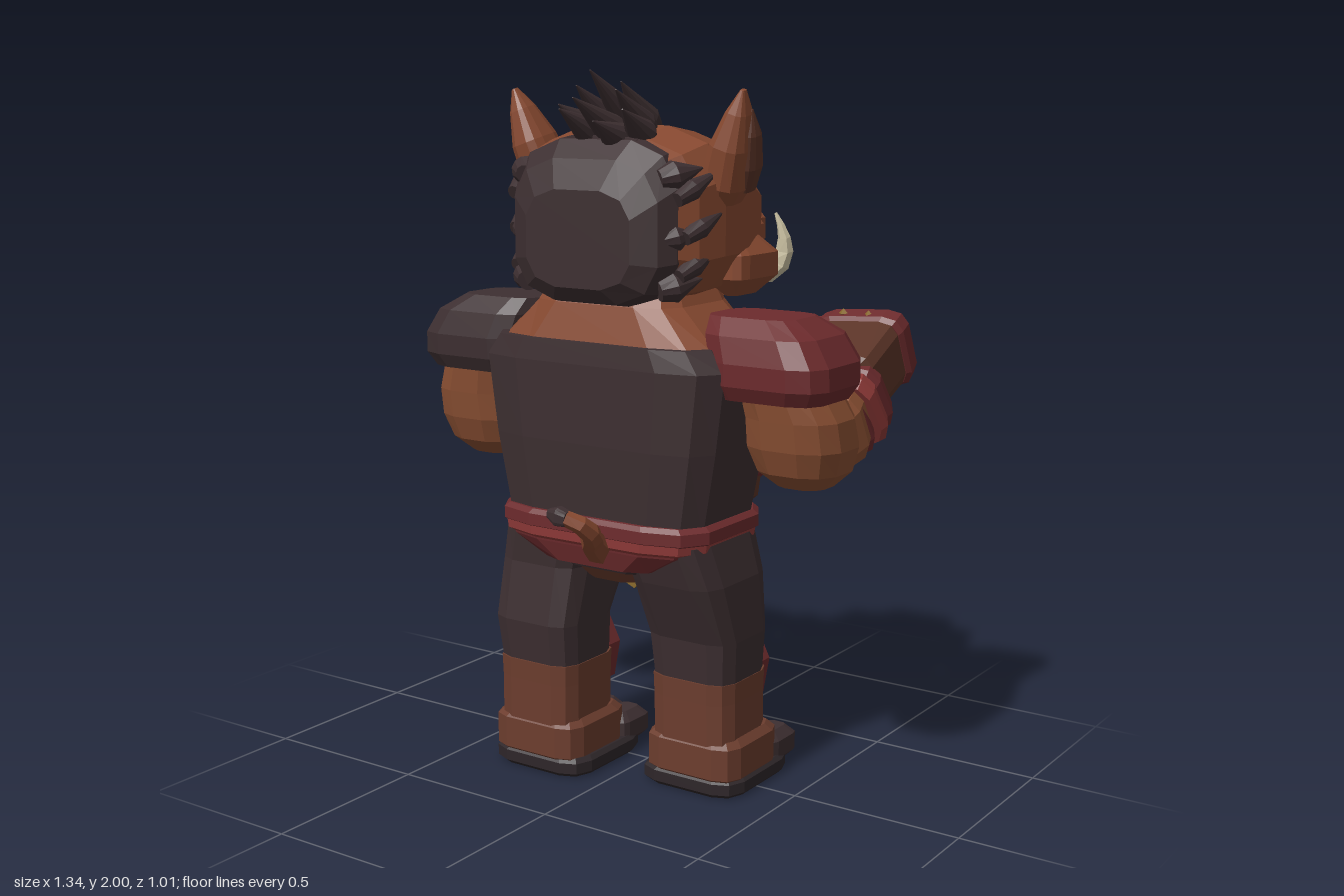
import * as THREE from 'three';

const mat = (name, color) => { const m = new THREE.MeshStandardMaterial({ color }); m.name = name; m.flatShading = true; return m; };
const skin = mat('skin', 0x874930), armSkin = mat('arm skin', 0x8b5033), dark = mat('dark cloth and hair', 0x3d2f31),
  leather = mat('leather', 0x5b3427), boot = mat('boot brown', 0x6c3d2e), red = mat('armour red', 0x6d2b2d),
  cloth = mat('red cloth', 0x8f3a38), gold = mat('gold', 0x8a6a2c), ivory = mat('ivory', 0xd2c8a8), black = mat('sole black', 0x2e2629);

export function createModel() {
  const root = new THREE.Group();
  const add = (name, geo, material) => {
    const m = new THREE.Mesh(geo, material);
    m.name = name;
    root.add(m);
    return m;
  };

  // Loft of rounded-box rings: [t, centre x, centre w, half width, half depth]; t runs along y or z
  function loft(rings, axis = 'y', e = 0.55, n = 12) {
    const pos = [], idx = [], off = Math.PI / n, norm = Math.cos(off) ** e;
    const pw = v => Math.sign(v) * Math.abs(v) ** e / norm;
    for (const [t, cx, cw, hw, hd] of rings) for (let j = 0; j < n; j++) {
      const a = off + j * 2 * Math.PI / n, x = cx + hw * pw(Math.cos(a)), w = hd * pw(Math.sin(a));
      if (axis === 'y') pos.push(x, t, cw + w); else pos.push(x, cw - w, t);
    }
    for (let i = 0; i < rings.length - 1; i++) for (let j = 0; j < n; j++) {
      const a = i * n + j, b = i * n + (j + 1) % n;
      idx.push(a, a + n, b + n, a, b + n, b);
    }
    const top = (rings.length - 1) * n;
    for (let j = 1; j < n - 1; j++) idx.push(0, j, j + 1, top, top + j + 1, top + j);
    const g = new THREE.BufferGeometry();
    g.setAttribute('position', new THREE.Float32BufferAttribute(pos, 3));
    g.setIndex(idx);
    const flat = g.toNonIndexed();
    flat.computeVertexNormals();
    return flat;
  }
  // Box with bevelled edges
  const chunk = (w, h, d, c = 0.03) => loft([[-h / 2, 0, 0, w / 2 - c, d / 2 - c], [-h / 2 + c, 0, 0, w / 2, d / 2],
    [h / 2 - c, 0, 0, w / 2, d / 2], [h / 2, 0, 0, w / 2 - c, d / 2 - c]], 'y', 0.4);
  const put = (name, geo, material, x, y, z, rx = 0, ry = 0, rz = 0) => {
    const m = add(name, geo, material);
    m.position.set(x, y, z);
    m.rotation.set(rx, ry, rz);
    return m;
  };
  const rivet = (x, y, z) => put('rivet', new THREE.OctahedronGeometry(0.015), gold, x, y, z);
  // Limb between two points; rings are [fraction, half width, half depth]
  function limb(name, a, b, rings, material, e = 0.55) {
    const A = new THREE.Vector3(...a), d = new THREE.Vector3(...b).sub(A), L = d.length();
    const m = add(name, loft(rings.map(([t, w, h]) => [t * L, 0, 0, w, h]), 'y', e), material);
    m.position.copy(A);
    m.quaternion.setFromUnitVectors(new THREE.Vector3(0, 1, 0), d.normalize());
    return m;
  }
  const spike = (name, a, b, r, material) => limb(name, a, b, [[0, r * 0.6, r * 0.7], [0.35, r, r], [1, 0.002, 0.002]], material, 1);
  // Flat extruded panel
  const panel = (name, pts, depth, material, x, y, z) => {
    const g = new THREE.ExtrudeGeometry(new THREE.Shape(pts.map(p => new THREE.Vector2(...p))), { depth, bevelEnabled: false });
    return put(name, g, material, x, y, z);
  };
  // Tapered tube along a path
  function taper(name, pts, r0, r1, material, seg = 7) {
    const c = new THREE.CatmullRomCurve3(pts.map(p => new THREE.Vector3(...p)));
    const g = new THREE.TubeGeometry(c, seg, 1, 6), p = g.attributes.position, v = new THREE.Vector3();
    for (let i = 0; i < p.count; i++) {
      const t = Math.floor(i / 7) / seg, q = c.getPointAt(t);
      v.fromBufferAttribute(p, i).sub(q).multiplyScalar(r0 + (r1 - r0) * t).add(q);
      p.setXYZ(i, v.x, v.y, v.z);
    }
    g.computeVertexNormals();
    return add(name, g, material);
  }

  // Torso, neck and hips
  add('vest', loft([[0.76, 0, 0.09, 0.32, 0.2], [1.0, 0, 0.09, 0.365, 0.215], [1.22, 0, 0.095, 0.395, 0.215], [1.28, 0, 0.095, 0.35, 0.21]], 'y', 0.4), dark);
  add('neck', loft([[1.2, 0, 0.09, 0.39, 0.185], [1.25, 0, 0.09, 0.375, 0.2], [1.38, 0, 0.08, 0.235, 0.18], [1.45, 0, 0.07, 0.2, 0.15]], 'y', 0.45), skin);
  add('hips', loft([[0.635, 0, 0.08, 0.18, 0.16], [0.67, 0, 0.08, 0.26, 0.18], [0.78, 0, 0.08, 0.32, 0.2]]), dark);
  add('crotch', loft([[0.595, 0, 0.08, 0.09, 0.12], [0.65, 0, 0.08, 0.14, 0.17]]), boot);
  add('beltLower', loft([[0.655, 0, 0.085, 0.2, 0.2], [0.71, 0, 0.085, 0.31, 0.215], [0.75, 0, 0.085, 0.33, 0.22]], 'y', 0.45), red);
  add('beltSash', loft([[0.715, 0, 0.085, 0.31, 0.215], [0.725, 0, 0.085, 0.332, 0.226], [0.75, 0, 0.085, 0.336, 0.228]], 'y', 0.45), cloth);
  add('beltUpper', loft([[0.74, 0, 0.085, 0.325, 0.215], [0.752, 0, 0.085, 0.345, 0.23], [0.785, 0, 0.085, 0.345, 0.23], [0.798, 0, 0.085, 0.33, 0.22]], 'y', 0.45), red);

  // Chest armour bands
  const band = (name, y0, y1, w0, w1, z, m) => add(name, loft([[y0, 0, z + 0.01, w0 - 0.02, 0.09], [y0 + 0.02, 0, z, w0, 0.1],
    [y1 - 0.02, 0, z, w1, 0.1], [y1, 0, z + 0.01, w1 - 0.02, 0.085]], 'y', 0.5), m);
  band('chestBand', 0.8, 0.91, 0.3, 0.31, -0.06, leather);
  band('chestBand', 0.87, 1.0, 0.32, 0.335, -0.09, red);
  band('chestBand', 0.98, 1.11, 0.33, 0.345, -0.075, leather);
  band('chestBand', 1.08, 1.26, 0.345, 0.36, -0.09, red);
  band('collar', 1.23, 1.3, 0.33, 0.29, -0.04, dark);
  put('medallion', new THREE.CylinderGeometry(0.05, 0.05, 0.025, 8), gold, 0, 1.14, -0.195, Math.PI / 2);
  put('medallionGroove', new THREE.BoxGeometry(0.07, 0.009, 0.008), leather, 0, 1.14, -0.208, 0, 0, 0.5);
  for (const s of [-1, 1]) {
    for (const [x, y] of [[0.24, 1.21], [0.24, 1.12], [0.23, 0.95]]) rivet(s * x, y, -0.185);
    rivet(s * 0.2, 1.28, -0.13);
  }

  // Buckle, loincloth and aprons with gold hems
  put('buckle', chunk(0.1, 0.075, 0.05, 0.01), gold, 0, 0.75, -0.165);
  put('buckleInset', new THREE.BoxGeometry(0.05, 0.03, 0.008), leather, 0, 0.75, -0.191);
  panel('loincloth', [[-0.07, 0.24], [-0.055, 0.03], [0, -0.03], [0.055, 0.03], [0.07, 0.24]], 0.02, cloth, 0, 0.49, -0.175);
  for (const [x, s, y] of [[-0.165, 1.25, 0.51], [0.145, 0.75, 0.56]]) {
    const P = (...pts) => pts.map(([a, b]) => [a * s, b]);
    panel('apron', P([-0.09, 0.22], [-0.08, 0.03], [0.03, -0.03], [0.08, 0.03], [0.08, 0.22]), 0.04, leather, x, y, -0.155);
    panel('apronHem', P([-0.082, 0.045], [-0.08, 0.025], [0.03, -0.035], [0.08, 0.025], [0.082, 0.045], [0.03, -0.015]), 0.05, gold, x, y, -0.16);
  }

  // Legs; dz sets the stride
  for (const [s, dz] of [[1, 0], [-1, 0.115]]) {
    const bz = 0.025 + dz;
    add('thigh', loft([[0.29, s * 0.228, bz, 0.127, 0.12], [0.45, s * 0.23, bz + 0.01, 0.138, 0.13], [0.62, s * 0.22, 0.07 + dz * 0.2, 0.14, 0.165], [0.74, s * 0.19, 0.09, 0.145, 0.18]], 'y', 0.45), dark);
    add('shin', loft([[0.08, s * 0.23, bz, 0.13, 0.125], [0.27, s * 0.228, bz, 0.13, 0.128], [0.33, s * 0.228, bz, 0.132, 0.13]], 'y', 0.45), boot);
    put('bootCuff', chunk(0.3, 0.13, 0.29, 0.02), boot, s * 0.23, 0.1, 0.01 + dz);
    put('sole', chunk(0.325, 0.055, 0.35, 0.012), black, s * 0.223, 0.028, -0.02 + dz);
    for (const i of [-1, 0, 1])
      put('toe', chunk(0.105, 0.1, 0.14, 0.025), dark, s * 0.223 + i * 0.1, 0.07, (i ? -0.162 : -0.182) + dz);
    const hex = [[-0.06, 0.1], [-0.095, 0.03], [-0.075, -0.08], [0, -0.11], [0.075, -0.08], [0.095, 0.03], [0.06, 0.1]];
    panel('kneePad', hex, 0.06, red, s * 0.225, 0.3, -0.155 + dz);
    panel('kneePlate', hex.map(([a, b]) => [a * 0.8, b * 0.8]), 0.03, red, s * 0.225, 0.3, -0.17 + dz);
    for (const y of [0.23, 0.37]) rivet(s * 0.225, y, -0.17 + dz);
  }

  // Arms with shoulder pads, wraps and armoured gloves
  for (const s of [1, -1]) {
    const dy = s > 0 ? 0 : -0.025, X = s * 0.53;
    add('shoulderPad', loft([[1.15, s * 0.485, 0.075, 0.16, 0.135], [1.19, s * 0.49, 0.075, 0.18, 0.157], [1.25, s * 0.49, 0.075, 0.178, 0.16],
      [1.32, s * 0.46, 0.075, 0.165, 0.145], [1.365, s * 0.42, 0.075, 0.13, 0.1]], 'y', 0.5), s > 0 ? red : dark);
    put('padGash', new THREE.BoxGeometry(0.14, 0.012, 0.012), s > 0 ? cloth : armSkin, s * 0.46, 1.335, -0.052, 0, 0, 0.12);
    for (const x of [0.38, 0.58]) rivet(s * x, 1.22, -0.085);
    add('upperArm', loft([[0.905 + dy, X, 0.02, 0.07, 0.07], [0.95 + dy, X, 0.025, 0.118, 0.12], [1.02 + dy, X, 0.04, 0.142, 0.132], [1.1 + dy, X, 0.06, 0.138, 0.125], [1.2, s * 0.5, 0.08, 0.12, 0.12]], 'y', 0.75), armSkin);
    limb('forearm', [X, 1.0 + dy, 0.02], [s * 0.5, 1.1 + dy, -0.22], [[0, 0.1, 0.09], [0.4, 0.13, 0.11], [1, 0.1, 0.09]], armSkin);
    for (const [z, y, r] of [[-0.09, 1.03, 0.13], [-0.14, 1.06, 0.142], [-0.19, 1.085, 0.132]])
      limb('wristWrap', [s * 0.515, y + dy, z], [s * 0.505, y + 0.035 + dy, z - 0.055], [[0, r - 0.01, r - 0.03], [0.4, r, r - 0.015], [1, r - 0.012, r - 0.03]], r > 0.14 ? cloth : red);
    const tip = s > 0 ? -0.465 : -0.44, a = [s * 0.485, 1.13 + dy, -0.2], b = [s * 0.468, 1.238 + dy, tip];
    limb('glove', a, b, [[0, 0.105, 0.085], [0.08, 0.125, 0.1], [0.85, 0.128, 0.105], [1, 0.1, 0.08]], leather, 0.4);
    limb('knuckleGuard', a, b, [[0.7, 0.13, 0.103], [0.75, 0.14, 0.113], [0.93, 0.135, 0.108], [1.03, 0.11, 0.08]], red, 0.4);
    limb('gloveSidePlate', [s * 0.365, 1.15 + dy, -0.23], [s * 0.342, 1.225 + dy, tip + 0.05], [[0, 0.02, 0.06], [0.15, 0.028, 0.085], [1, 0.028, 0.085]], red, 0.4);
    for (const x of [0.42, 0.5]) rivet(s * x, 1.318 + dy, tip + 0.09);
  }

  // Head
  add('head', loft([[-0.225, 0, 1.57, 0.2, 0.12], [-0.17, 0, 1.585, 0.265, 0.175], [-0.04, 0, 1.61, 0.305, 0.225], [0.1, 0, 1.615, 0.318, 0.24], [0.2, 0, 1.6, 0.3, 0.225], [0.26, 0, 1.6, 0.255, 0.198]], 'z', 0.66), skin);
  add('backHair', loft([[0.2, 0, 1.6, 0.255, 0.228], [0.25, 0, 1.6, 0.265, 0.22], [0.3, 0, 1.58, 0.235, 0.19], [0.335, 0, 1.56, 0.17, 0.13]], 'z', 0.62), dark);
  add('crownHair', loft([[0, 0, 1.8, 0.03, 0.045], [0.06, 0, 1.8, 0.07, 0.062], [0.24, 0, 1.765, 0.15, 0.065]], 'z'), dark);
  add('snout', loft([[-0.41, 0, 1.54, 0.12, 0.06], [-0.37, 0, 1.535, 0.155, 0.07], [-0.3, 0, 1.53, 0.178, 0.088], [-0.2, 0, 1.525, 0.205, 0.11], [-0.12, 0, 1.52, 0.21, 0.11]], 'z', 0.7), skin);
  add('nose', loft([[-0.435, 0, 1.545, 0.11, 0.05], [-0.425, 0, 1.545, 0.127, 0.062], [-0.395, 0, 1.545, 0.127, 0.064], [-0.38, 0, 1.545, 0.11, 0.055]], 'z'), skin);
  add('jaw', loft([[-0.31, 0, 1.435, 0.1, 0.03], [-0.25, 0, 1.42, 0.16, 0.05], [-0.1, 0, 1.415, 0.2, 0.05]], 'z'), skin);
  add('mouth', loft([[-0.335, 0, 1.463, 0.1, 0.01], [-0.2, 0, 1.462, 0.19, 0.012]], 'z'), leather);

  // Mohawk: [base x, y, z, tip x, y, z]
  for (const [x, y, z, u, v, w] of [[0, 1.82, 0.03, -0.015, 2.0, 0.25], [0.04, 1.82, 0.02, 0.05, 1.97, 0.2], [-0.05, 1.82, 0.06, -0.06, 1.96, 0.25],
    [0.07, 1.81, 0.08, 0.09, 1.95, 0.28], [-0.08, 1.81, 0.08, -0.12, 1.91, 0.25], [0.02, 1.8, 0.12, 0.01, 1.93, 0.36],
    [0.09, 1.8, 0.12, 0.125, 1.9, 0.3], [-0.04, 1.8, 0.14, -0.05, 1.9, 0.34], [0.05, 1.8, 0.16, 0.06, 1.87, 0.34]])
    spike('mohawkSpike', [x, y, z], [u, v, w], 0.042, dark);

  for (const s of [1, -1]) {
    // Ears
    limb('ear', [s * 0.285, 1.665, 0.06], [s * 0.378, 1.95, 0.115], [[0, 0.045, 0.05], [0.15, 0.06, 0.07], [0.5, 0.052, 0.066], [0.8, 0.03, 0.038], [1, 0.006, 0.01]], skin, 0.7);
    limb('innerEar', [s * 0.335, 1.69, 0.035], [s * 0.385, 1.9, 0.085], [[0, 0.025, 0.035], [0.3, 0.038, 0.045], [0.7, 0.028, 0.035], [1, 0.004, 0.004]], leather, 0.8);
    // Cheeks and side tufts
    put('jowl', chunk(0.14, 0.165, 0.22, 0.05), skin, s * 0.255, 1.475, -0.08);
    for (const [x, y, z] of [[0.3, 1.7, 0.14], [0.312, 1.6, 0.12], [0.3, 1.5, 0.13]])
      spike('sideTuft', [s * (x - 0.03), y - 0.03, z + 0.12], [s * x, y + 0.04, z - 0.03], 0.028, dark);
    // Hairline points lapping over the sides of the head
    for (const y of [1.72, 1.56, 1.43]) spike('hairline', [s * 0.22, y, 0.27], [s * 0.29, y + 0.03, 0.17], 0.04, dark);
    // Eyes and brows
    put('eye', new THREE.IcosahedronGeometry(0.045, 1), ivory, s * 0.145, 1.632, -0.203);
    put('pupil', new THREE.CylinderGeometry(0.016, 0.016, 0.008, 8), black, s * 0.138, 1.632, -0.247, Math.PI / 2);
    put('eyelid', chunk(0.12, 0.03, 0.07, 0.01), skin, s * 0.145, 1.672, -0.21, 0, -s * 0.3, s * 0.25);
    put('brow', chunk(0.14, 0.05, 0.065, 0.012), dark, s * 0.125, 1.7, -0.213, 0, -s * 0.3, s * 0.28);
    spike('browTip', [s * 0.16, 1.715, -0.21], [s * 0.265, 1.735, -0.145], 0.034, dark);
    // Nostrils and tusks
    put('nostril', new THREE.BoxGeometry(0.045, 0.035, 0.008), leather, s * 0.052, 1.55, -0.434);
    taper('tusk', [[s * 0.14, 1.46, -0.29], [s * 0.19, 1.435, -0.34], [s * 0.228, 1.47, -0.355], [s * 0.238, 1.53, -0.345], [s * 0.22, 1.6, -0.325]], 0.055, 0.004, ivory);
  }

  // Tail
  taper('tail', [[0.025, 0.7, 0.27], [0.07, 0.755, 0.37], [0.112, 0.795, 0.43], [0.1, 0.83, 0.472], [0.07, 0.842, 0.485]], 0.042, 0.022, skin);
  limb('tailTip', [0.075, 0.84, 0.482], [0.015, 0.85, 0.485], [[0, 0.02, 0.02], [0.5, 0.026, 0.022], [1, 0.012, 0.012]], dark);
  return root;
}
